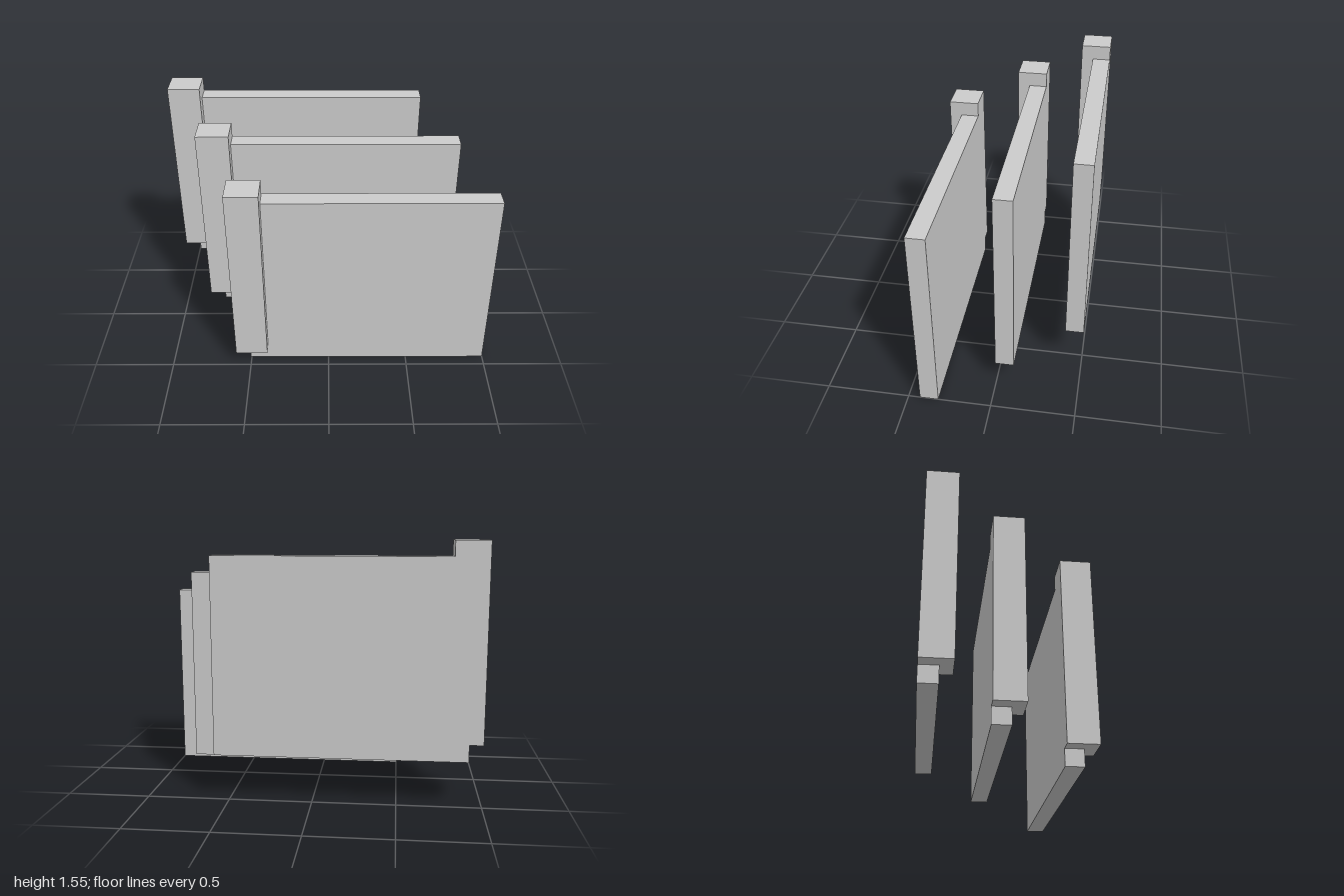
import * as THREE from 'three';

const material = new THREE.MeshStandardMaterial({ color: 0xcccccc, flatShading: true });

// Box given by its min and max corners
function block(name, [x0, y0, z0], [x1, y1, z1]) {
  const mesh = new THREE.Mesh(new THREE.BoxGeometry(x1 - x0, y1 - y0, z1 - z0), material);
  mesh.position.set((x0 + x1) / 2, (y0 + y1) / 2, (z0 + z1) / 2);
  mesh.name = name;
  return mesh;
}

// A flat panel with a thicker, taller post at its right-hand end, flush at the back
function createUnit(name) {
  const unit = new THREE.Group();
  unit.name = name;
  unit.add(
    block('panel', [-0.505, 0, 0], [1, 1.185, 0.112]),
    block('post', [-0.588, 0.104, 0], [-0.39, 1.275, 0.187])
  );
  return unit;
}

export function createModel() {
  const model = new THREE.Group();
  model.name = 'steppedPanels';

  // Three identical units, each stepping back, up and to one side
  const placements = [
    ['frontUnit', 0, 0, 0.318],
    ['middleUnit', -0.199, 0.151, -0.107],
    ['backUnit', -0.412, 0.276, -0.505],
  ];
  for (const [name, x, y, z] of placements) {
    const unit = createUnit(name);
    unit.position.set(x, y, z);
    model.add(unit);
  }
  return model;
}
